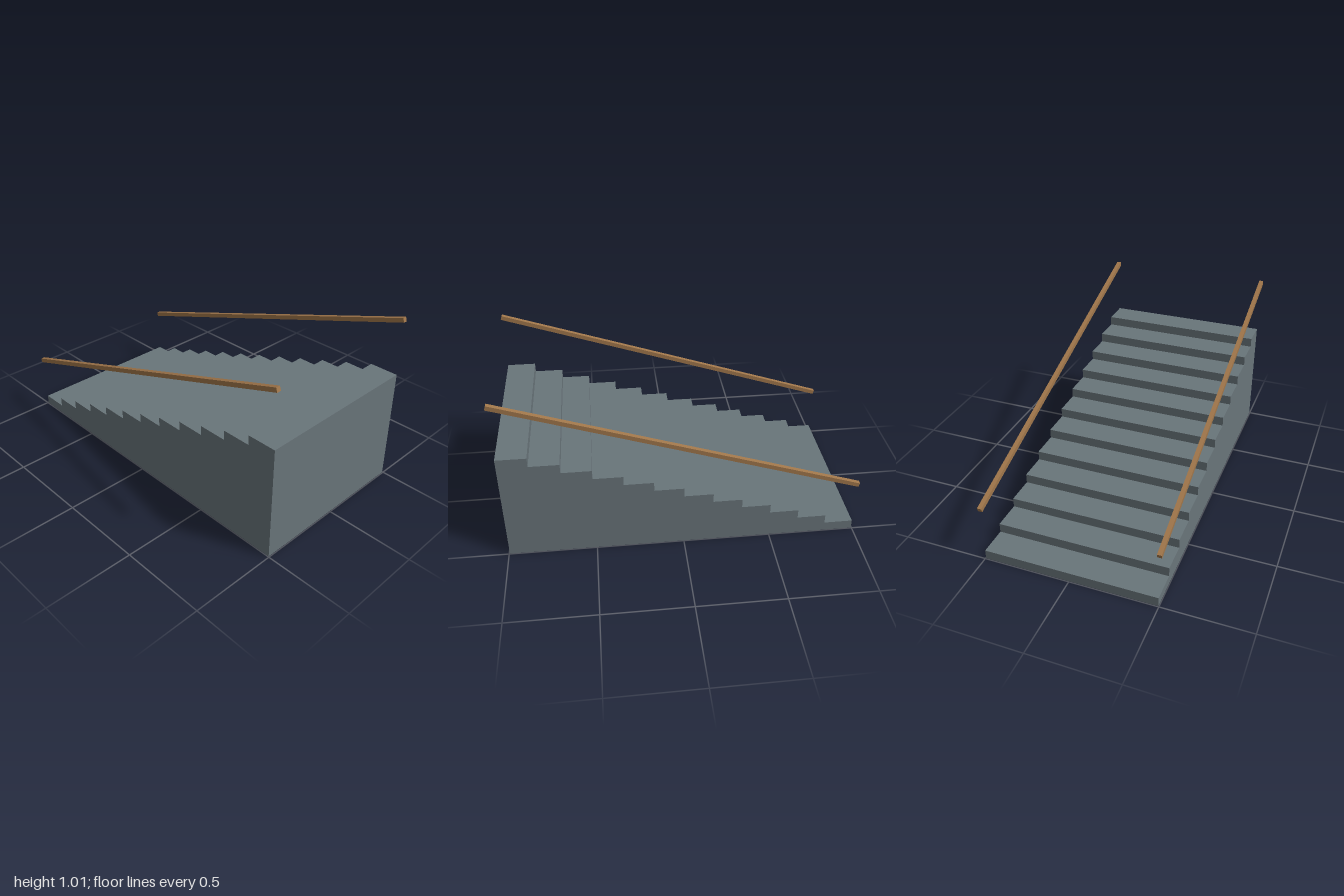
import * as THREE from 'three';

const STEPS = 12, RUN = 0.166, RISE = 0.0553, WIDTH = 0.994;
const HALF = STEPS * RUN / 2;

export function createModel() {
  const model = new THREE.Group();
  model.name = 'staircase';
  const stone = new THREE.MeshStandardMaterial({ color: 0x69757a, flatShading: true });
  const wood = new THREE.MeshStandardMaterial({ color: 0xa0764a, flatShading: true });

  // Solid flight of steps: stepped side profile, climbing towards the front
  const profile = new THREE.Shape();
  profile.moveTo(HALF, 0);
  for (let i = STEPS; i > 0; i--) {
    const z = -HALF + i * RUN;
    profile.lineTo(z, i * RISE);
    profile.lineTo(z - RUN, i * RISE);
  }
  profile.lineTo(-HALF, 0);
  const geometry = new THREE.ExtrudeGeometry(profile, { depth: WIDTH, bevelEnabled: false });
  geometry.translate(0, 0, -WIDTH / 2).rotateY(-Math.PI / 2);
  const steps = new THREE.Mesh(geometry, stone);
  steps.name = 'steps';
  model.add(steps);

  // Sloping handrails, parallel to the flight
  for (const side of [-1, 1]) {
    const rail = new THREE.Mesh(new THREE.BoxGeometry(0.025, 0.025, 2.1), wood);
    rail.name = side > 0 ? 'leftHandrail' : 'rightHandrail';
    rail.position.set(side * 0.497, 0.665, 0);
    rail.rotation.x = -Math.atan2(RISE, RUN);
    model.add(rail);
  }
  return model;
}
